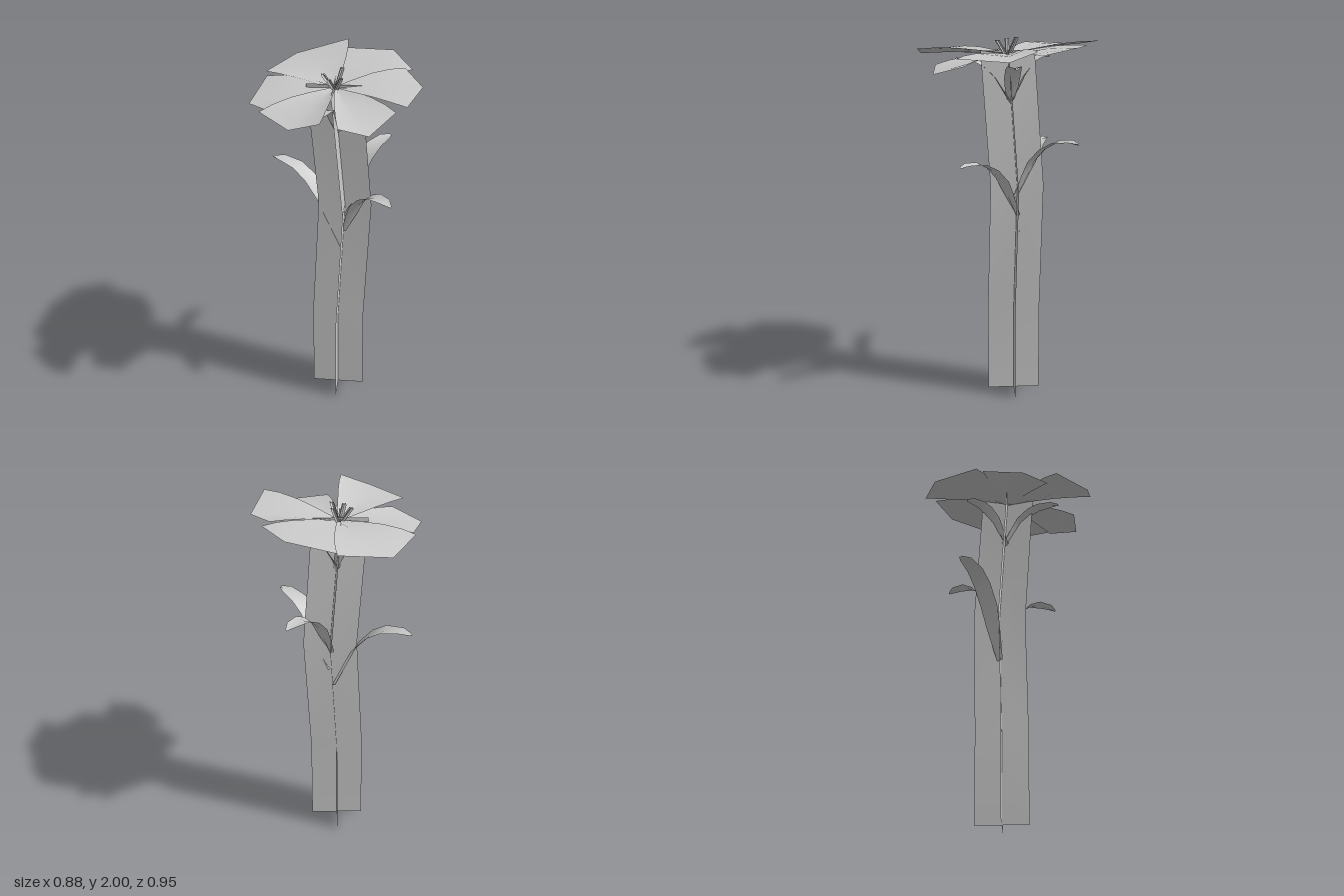
import * as THREE from 'three';

const material = new THREE.MeshStandardMaterial({ color: 0xcccccc, side: THREE.DoubleSide });
const V = (x, y, z) => new THREE.Vector3(x, y, z);

// Smooth open surface through rows of points, all rows of equal length
function sheet(name, rows) {
  const n = rows[0].length, index = [];
  for (let i = 0; i < rows.length - 1; i++) {
    for (let j = 0; j < n - 1; j++) {
      const a = i * n + j, b = a + n;
      index.push(a, a + 1, b, b, a + 1, b + 1);
    }
  }
  const geometry = new THREE.BufferGeometry().setFromPoints(rows.flat());
  geometry.setIndex(index);
  geometry.computeVertexNormals();
  const mesh = new THREE.Mesh(geometry, material);
  mesh.name = name;
  return mesh;
}

// Arching leaf: [run, rise, half width] along its length, with a shallow trough across
const LEAF = [[0, 0, 0.018], [0.18, 0.4, 0.042], [0.28, 0.62, 0.05], [0.46, 0.84, 0.05],
  [0.64, 0.96, 0.046], [0.87, 1, 0.034], [1, 0.98, 0.008]];
function leaf(name, base, tip, height, width) {
  const run = tip.clone().sub(base).setY(0);
  const side = V(-run.z, 0, run.x).normalize();
  const out = run.clone().normalize();
  return sheet(name, LEAF.map(([t, h, w]) => [-1, 0, 1].map((s) => {
    const p = base.clone().addScaledVector(run, t).addScaledVector(side, s * w * width);
    p.y += h * height + (s ? 0.008 : 0);
    return p.addScaledVector(out, s ? -0.01 * (1 - t) : 0);
  })));
}

// Petal: narrow base, broad middle and a three-point outer edge
function petal(corners) {
  const [left, tip, right] = corners.map((c) => V(...c));
  const centre = V(-0.01, 1.91, 0);
  const row = (t, spread, lift) => [left, tip, right].map((p, i) => {
    const mid = centre.clone().lerp(tip, t);
    mid.addScaledVector(p.clone().sub(tip), spread);
    mid.y += lift - (i === 1 ? 0.006 : 0);
    return mid;
  });
  return sheet('petal', [row(0.03, 0.06, 0), row(0.28, 0.34, 0.008), row(0.55, 0.62, 0.014),
    row(0.8, 0.85, 0.01), [left, tip, right]]);
}

export function createModel() {
  const flower = new THREE.Group();
  flower.name = 'flower';

  // Stem: two crossed sheets following a bent centre line
  const line = [V(0.002, 0, -0.033), V(0.002, 0.5, -0.033), V(0.037, 1.2, -0.048), V(-0.018, 1.925, 0)];
  const stem = new THREE.Group();
  stem.name = 'stem';
  for (const axis of [V(0.143, 0, 0), V(0, 0, 0.143)]) {
    stem.add(sheet('stemSheet', line.map((p) => [-1, 1].map((s) => p.clone().addScaledVector(axis, s)))));
  }
  flower.add(stem);

  // Three large leaves on the stem
  flower.add(leaf('leaf', V(0.01, 0.93, -0.05), V(-0.38, 0, -0.24), 0.44, 1));
  flower.add(leaf('leaf', V(0.04, 1.03, -0.045), V(0.3, 0, 0.26), 0.345, 1));
  flower.add(leaf('leaf', V(0.035, 1.13, -0.045), V(0.26, 0, -0.35), 0.35, 1));

  // Three small sepals under the bloom
  for (const [x, z] of [[0.27, -0.03], [-0.05, 0.29], [-0.12, -0.23]]) {
    flower.add(leaf('sepal', V(0, 1.64, -0.015), V(x, 0, z), 0.235, 0.85));
  }

  // Bloom: six petals, each given by its three outer corners
  const bloom = new THREE.Group();
  bloom.name = 'bloom';
  [
    [[-0.39, 1.91, -0.16], [-0.26, 1.915, -0.4], [0.01, 1.975, -0.48]],
    [[0, 1.95, -0.42], [0.26, 1.98, -0.345], [0.375, 1.96, -0.145]],
    [[0.335, 1.975, -0.13], [0.435, 1.94, 0.02], [0.37, 1.95, 0.28]],
    [[0.315, 1.9, 0.24], [0.195, 1.84, 0.395], [0.04, 1.865, 0.38]],
    [[-0.035, 1.935, 0.475], [-0.19, 1.885, 0.455], [-0.36, 1.89, 0.28]],
    [[-0.3, 1.865, 0.23], [-0.44, 1.845, 0.1], [-0.38, 1.9, -0.125]],
  ].forEach((corners) => bloom.add(petal(corners)));
  flower.add(bloom);

  // Stamens: small crossed strips leaning outward
  for (const [x, z, y] of [[-0.075, 0, 1.98], [0.022, -0.045, 2], [0.025, 0.055, 1.985], [-0.04, 0.055, 1.975]]) {
    const base = V(-0.01 + x * 0.15, 1.9, z * 0.15), top = V(x, y, z);
    const stamen = new THREE.Group();
    stamen.name = 'stamen';
    for (const w of [V(0.011, 0, 0.009), V(-0.009, 0, 0.011)]) {
      stamen.add(sheet('stamenStrip', [base, top].map((p) => [-1, 1].map((s) => p.clone().addScaledVector(w, s)))));
    }
    flower.add(stamen);
  }
  return flower;
}
